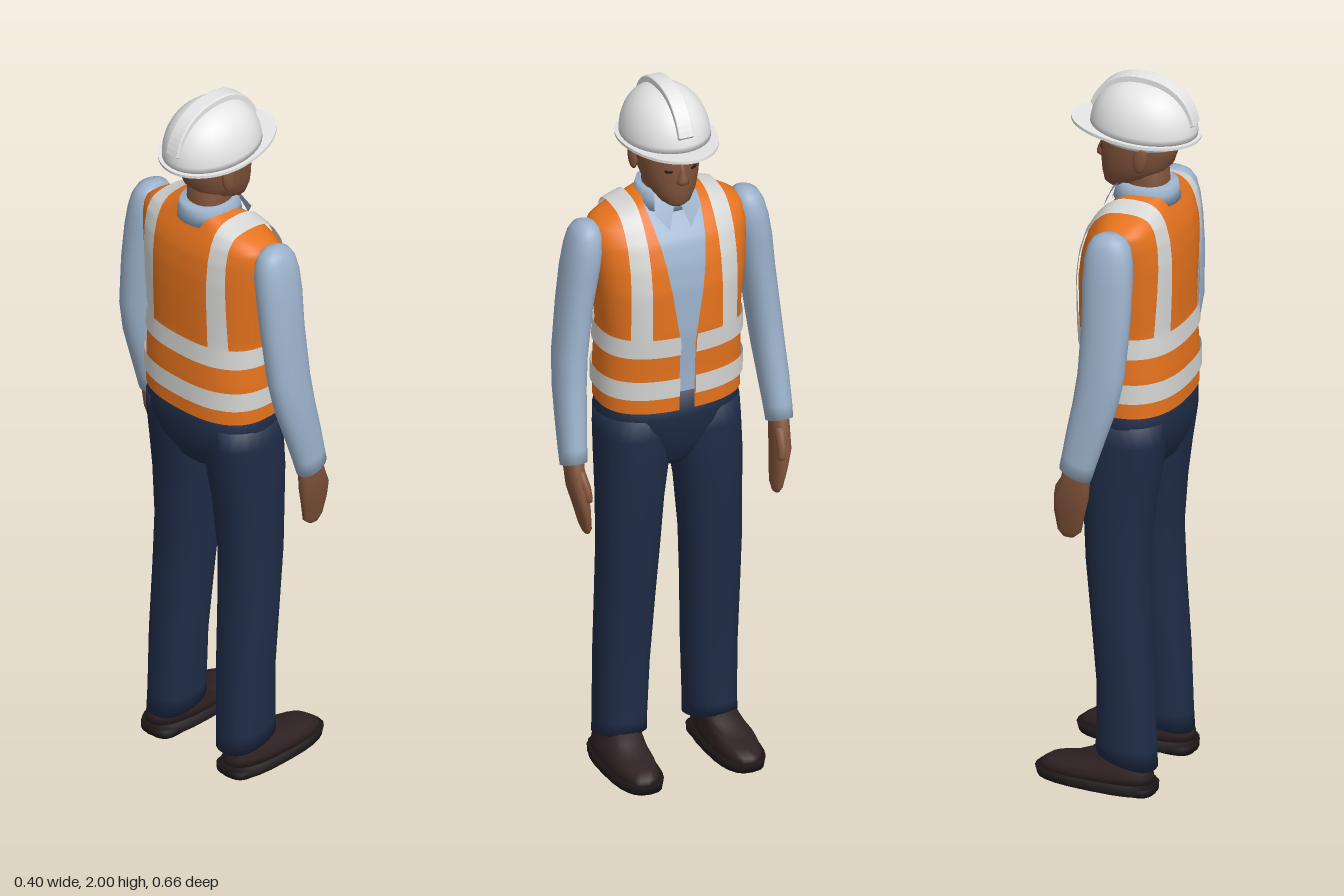
import * as THREE from 'three';
import { mergeVertices } from 'three/addons/utils/BufferGeometryUtils.js';

const mat = (name, color, side = THREE.FrontSide) => {
  const m = new THREE.MeshStandardMaterial({ color, side });
  m.name = name;
  return m;
};

// Smooth grid surface from fn(u, v) -> [x, y, z]
function grid(nu, nv, fn) {
  const pos = [], idx = [];
  for (let j = 0; j <= nv; j++)
    for (let i = 0; i <= nu; i++) pos.push(...fn(i / nu, j / nv));
  for (let j = 0; j < nv; j++)
    for (let i = 0; i < nu; i++) {
      const a = j * (nu + 1) + i, b = a + nu + 1;
      idx.push(a, b, a + 1, a + 1, b, b + 1);
    }
  let g = new THREE.BufferGeometry();
  g.setAttribute('position', new THREE.Float32BufferAttribute(pos, 3));
  g.setIndex(idx);
  g = mergeVertices(g, 1e-5);
  g.computeVertexNormals();
  return g;
}

const spow = (v, e) => Math.sign(v) * Math.abs(v) ** e;

// Closed loft through rings [y, cx, cz, rx, rz, slope], listed bottom to top
function loft(rings, n = 2.2, segs = 24) {
  const first = rings[0], last = rings[rings.length - 1];
  const all = [[first[0], first[1], first[2], 0, 0], first, ...rings, last, [last[0], last[1], last[2], 0, 0]];
  return grid(segs, all.length - 1, (u, v) => {
    const [y, cx, cz, rx, rz, slope = 0] = all[Math.round(v * (all.length - 1))];
    const a = (u % 1) * Math.PI * 2;
    const dx = rx * spow(Math.cos(a), 2 / n);
    return [cx + dx, y + slope * dx, cz + rz * spow(Math.sin(a), 2 / n)];
  });
}

// Torso sections: y, centre x, half depth, half width
const TORSO = [
  [1.09, -.037, .137, .2], [1.2, -.035, .138, .2], [1.32, -.028, .139, .196], [1.45, -.03, .14, .21],
  [1.52, -.035, .134, .217], [1.58, -.042, .12, .222], [1.62, -.05, .1, .218],
  [1.645, -.055, .084, .185], [1.665, -.058, .073, .125], [1.685, -.06, .065, .075],
];
const N = 2.5, HEM = 1.09, TOP = 1.685;
function section(y) {
  let i = 0;
  while (i < TORSO.length - 2 && y > TORSO[i + 1][0]) i++;
  const a = TORSO[i], b = TORSO[i + 1];
  const t = THREE.MathUtils.clamp((y - a[0]) / (b[0] - a[0]), 0, 1);
  return a.map((v, k) => v + (b[k] - v) * t);
}
const lift = (y, off) => y + off * THREE.MathUtils.smoothstep(y, 1.56, 1.64);
// Half width of the front opening
const opening = y => .022 + Math.max(0, y - 1.3) * .155;

// Band around the torso, leaving the front opening free if open is true
function torsoBand(y0, y1, off, open, nv) {
  return grid(64, nv, (u, v) => {
    const y = y0 + (y1 - y0) * v, [, cx, rx, rz] = section(y);
    const a0 = open ? Math.asin(Math.min(.97, opening(y) / rz) ** (N / 2)) : 0;
    const a = a0 + (open ? u : u % 1) * (Math.PI * 2 - 2 * a0);
    return [cx + (rx + off) * spow(Math.cos(a), 2 / N), lift(y, off), (rz + off) * spow(Math.sin(a), 2 / N)];
  });
}

// Strip between two z values, running from the front over the shoulder to the back
function shoulderStrip(z0, z1, yBottom, off) {
  return grid(6, 64, (u, v) => {
    const z = z0 + (z1 - z0) * u;
    let lo = 1.6, hi = TOP;
    for (let k = 0; k < 30; k++) {
      const m = (lo + hi) / 2;
      if (section(m)[3] > z) lo = m; else hi = m;
    }
    const t = 1 - 2 * v;
    const y = yBottom + (lo - yBottom) * (1 - t * t);
    const [, cx, rx, rz] = section(y);
    const d = Math.max(0, 1 - Math.min(1, z / rz) ** N) ** (1 / N);
    return [cx + Math.sign(t) * (rx + off) * d, lift(y, off + .002), z];
  });
}

export function createModel() {
  const M = {
    vest: mat('vest orange', 0xe6731e, THREE.DoubleSide),
    tape: mat('reflective tape', 0xd6d6d4, THREE.DoubleSide),
    shirt: mat('shirt blue', 0x9cb2cb, THREE.DoubleSide),
    trousers: mat('trouser navy', 0x1f2c47),
    skin: mat('skin brown', 0x80533a),
    helmet: mat('helmet white', 0xe6e6e6),
    shoe: mat('shoe brown', 0x2e2122),
    sole: mat('sole black', 0x1c1516),
    eye: mat('eye dark', 0x241813),
  };
  const root = new THREE.Group();
  root.name = 'worker';
  const add = (parent, name, geo, material) => {
    const m = new THREE.Mesh(geo, material);
    m.name = name;
    parent.add(m);
    return m;
  };
  const ball = (parent, name, p, s, material) => {
    const m = add(parent, name, new THREE.SphereGeometry(1, 16, 12), material);
    m.position.set(...p);
    m.scale.set(...s);
    return m;
  };

  // Torso clothing
  add(root, 'shirt', torsoBand(1.12, TOP, -.012, false, 40), M.shirt);
  add(root, 'vest', torsoBand(HEM, TOP, -.003, true, 48), M.vest);
  add(root, 'upperTape', torsoBand(1.262, 1.318, .003, true, 4), M.tape);
  add(root, 'lowerTape', torsoBand(1.135, 1.19, .003, true, 4), M.tape);
  add(root, 'collarBand', loft([[1.65, -.055, 0, .088, .08], [1.68, -.056, 0, .084, .074], [1.7, -.06, 0, .076, .067]]), M.shirt);

  // Hips
  add(root, 'hips', loft([
    [.89, -.035, 0, .06, .035], [.92, -.04, 0, .09, .075], [.97, -.043, 0, .113, .145],
    [1.02, -.044, 0, .125, .19], [1.06, -.04, 0, .128, .196], [1.14, -.036, 0, .13, .192],
  ], 2.4, 32), M.trousers);

  // Head
  add(root, 'neck', loft([[1.62, -.06, 0, .06, .056], [1.77, -.05, 0, .06, .056]]), M.skin);
  add(root, 'head', loft([
    [1.675, .025, 0, .026, .024], [1.688, .013, 0, .05, .042], [1.72, -.012, 0, .08, .064],
    [1.755, -.028, 0, .098, .075], [1.8, -.035, 0, .105, .081], [1.85, -.04, 0, .105, .082], [1.89, -.04, 0, .08, .065],
  ]), M.skin);
  add(root, 'nose', loft([
    [1.748, .066, 0, .01, .012], [1.755, .069, 0, .018, .018], [1.765, .068, 0, .019, .015],
    [1.79, .064, 0, .012, .009], [1.81, .06, 0, .01, .008],
  ], 2, 12), M.skin);

  // Hard hat, tipped slightly back
  const hat = new THREE.Group();
  hat.name = 'hardHat';
  hat.position.set(-.045, 1.848, 0);
  hat.rotation.z = .07;
  root.add(hat);
  const RX = .146, RZ = .116, HGT = .136;
  const domeRings = [];
  for (let i = 0; i <= 12; i++) {
    const a = i / 12 * Math.PI / 2, r = Math.cos(a) ** .85;
    domeRings.push([HGT * Math.sin(a), 0, 0, RX * r, RZ * r]);
  }
  add(hat, 'dome', loft(domeRings, 2, 40), M.helmet);
  const brim = new THREE.Shape();
  for (let i = 0; i < 48; i++) {
    const a = i / 48 * Math.PI * 2, c = Math.cos(a);
    brim[i ? 'lineTo' : 'moveTo'](c * (c > 0 ? .2 : .156), .127 * Math.sin(a));
  }
  const brimGeo = new THREE.ExtrudeGeometry(brim, { depth: .008, bevelEnabled: false });
  brimGeo.rotateX(-Math.PI / 2);
  brimGeo.translate(0, -.006, 0);
  add(hat, 'brim', brimGeo, M.helmet);
  const ridge = new THREE.Shape();
  for (const [grow, from, to] of [[.013, 0, 24], [-.01, 24, 0]])
    for (let i = from; from < to ? i <= to : i >= to; i += Math.sign(to - from)) {
      const a = (.1 + .8 * i / 24) * Math.PI, c = Math.cos(a);
      const x = (RX + grow * .3) * spow(c, .85), y = (HGT + grow) * Math.sin(a);
      ridge[grow > 0 && i === 0 ? 'moveTo' : 'lineTo'](x, y);
    }
  const ridgeGeo = new THREE.ExtrudeGeometry(ridge, { depth: .036, bevelThickness: .004, bevelSize: .003, bevelSegments: 2 });
  ridgeGeo.translate(0, 0, -.018);
  add(hat, 'ridge', ridgeGeo, M.helmet);
  add(hat, 'headBand', loft([[-.03, .008, 0, .118, .094], [0, .008, 0, .122, .098]], 2), M.helmet);

  // One side of the body, mirrored for the other
  const side = new THREE.Group();
  side.name = 'rightHalf';
  add(side, 'shoulderTape', shoulderStrip(.1, .152, 1.3, .004), M.tape);
  const flap = new THREE.BufferGeometry();
  flap.setAttribute('position', new THREE.Float32BufferAttribute(
    [.03, 1.685, .004, .058, 1.61, .03, .035, 1.655, .065, .005, 1.703, .052], 3));
  flap.setIndex([0, 1, 2, 0, 2, 3]);
  flap.computeVertexNormals();
  add(side, 'collarFlap', flap, M.shirt);
  add(side, 'sleeve', loft([
    [.96, .03, .295, .043, .034, .4], [1.0, .02, .294, .046, .036, .3], [1.08, 0, .29, .053, .039, .2],
    [1.16, -.021, .285, .06, .041, .1], [1.25, -.036, .278, .064, .043], [1.4, -.043, .261, .066, .045],
    [1.5, -.041, .247, .068, .049], [1.56, -.04, .237, .066, .049], [1.6, -.04, .232, .058, .043],
    [1.622, -.04, .23, .044, .033], [1.634, -.04, .228, .022, .017],
  ]), M.shirt);
  add(side, 'hand', loft([
    [.764, .058, .272, .016, .008], [.782, .055, .274, .033, .012], [.84, .051, .283, .043, .018],
    [.89, .043, .291, .048, .023], [.94, .031, .294, .04, .024], [1.0, .024, .294, .032, .023],
  ], 2.4), M.skin);
  add(side, 'thumb', loft([
    [.868, .088, .276, .007, .008], [.88, .086, .277, .012, .011], [.91, .076, .281, .016, .013], [.95, .05, .288, .017, .014],
  ], 2, 12), M.skin);
  add(side, 'trouserLeg', loft([
    [.085, -.048, .13, .083, .068, .28], [.13, -.048, .129, .08, .068, .15], [.3, -.045, .126, .076, .073],
    [.5, -.03, .122, .079, .078], [.65, -.02, .118, .084, .082], [.8, -.022, .112, .095, .087],
    [.9, -.026, .106, .105, .094], [1.0, -.035, .102, .112, .096], [1.06, -.038, .1, .112, .095],
  ], 2.3), M.trousers);
  add(side, 'shoe', loft([
    [.03, .028, .147, .158, .06], [.05, .028, .147, .156, .059], [.066, .018, .146, .142, .056],
    [.08, -.003, .143, .118, .052, -.08], [.1, -.03, .138, .086, .05, -.1], [.125, -.045, .132, .066, .048],
  ], 2.5), M.shoe);
  add(side, 'sole', loft([
    [.004, .02, .145, .145, .06, .04], [.006, .028, .146, .164, .065, .04], [.034, .031, .146, .168, .067, .02],
  ], 2.7), M.sole);
  add(side, 'heel', loft([[0, -.085, .142, .05, .054], [.02, -.085, .142, .051, .055]], 3), M.sole);
  ball(side, 'ear', [-.066, 1.79, .083], [.02, .04, .012], M.skin).rotation.z = .15;
  ball(side, 'eye', [.06, 1.79, .034], [.004, .006, .013], M.eye).rotation.y = -.35;
  root.add(side);
  const other = side.clone();
  other.name = 'leftHalf';
  other.scale.z = -1;
  root.add(other);
  return root;
}
